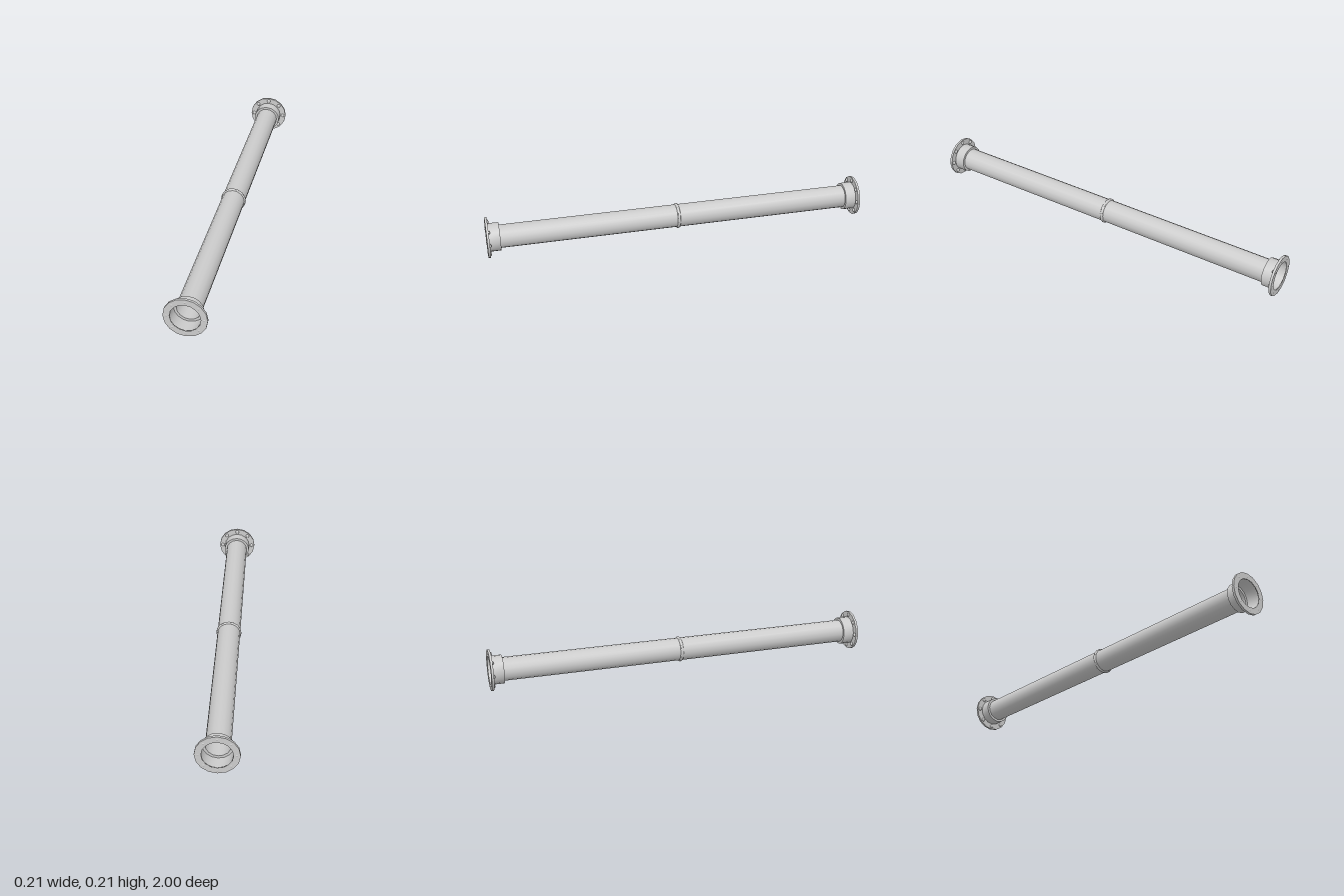
import * as THREE from 'three';
import { toCreasedNormals } from 'three/addons/utils/BufferGeometryUtils.js';

const SIDES = 16;
const R = 0.06;        // pipe radius
const HUB = 0.073;     // end socket radius
const RIM = 0.105;     // flange radius
const BOLTS = 8;

const material = new THREE.MeshStandardMaterial({ color: 0xcccccc, side: THREE.DoubleSide });

// Revolve a profile of [radius, z] pairs around the z axis.
function revolve(name, profile) {
  const points = profile.map(([r, z]) => new THREE.Vector2(r, z));
  const geometry = new THREE.LatheGeometry(points, SIDES).rotateX(Math.PI / 2);
  const mesh = new THREE.Mesh(toCreasedNormals(geometry, 0.6), material);
  mesh.name = name;
  return mesh;
}

// One flanged end, built at +z
function createEnd(name) {
  const end = new THREE.Group();
  end.name = name;

  // Socket with a step down to the pipe
  end.add(revolve('socket', [[R, 0.93], [HUB, 0.93], [HUB, 0.997]]));

  // Flange plate
  end.add(revolve('flange', [[HUB, 0.986], [RIM, 0.986], [RIM, 0.998], [HUB, 0.998]]));

  // Round bolts through the flange
  const boltGeometry = new THREE.SphereGeometry(0.011, 10, 8);
  for (let i = 0; i < BOLTS; i++) {
    const a = (i / BOLTS) * Math.PI * 2;
    const bolt = new THREE.Mesh(boltGeometry, material);
    bolt.name = 'bolt';
    bolt.position.set(Math.cos(a) * 0.088, Math.sin(a) * 0.088, 0.989);
    end.add(bolt);
  }
  return end;
}

export function createModel() {
  const model = new THREE.Group();
  model.name = 'flangedPipe';

  // Open pipe
  model.add(revolve('pipe', [[R, -0.93], [R, 0.93]]));

  // Rounded weld ring at the middle
  const bead = [];
  for (let i = 0; i <= 6; i++) {
    const a = (i / 6) * Math.PI;
    bead.push([R + 0.007 * Math.sin(a), -0.008 * Math.cos(a)]);
  }
  model.add(revolve('weldRing', bead));

  // Matching ends
  const front = createEnd('frontEnd');
  const back = createEnd('backEnd');
  back.rotation.y = Math.PI;
  model.add(front, back);

  model.children.forEach((part) => { part.position.y = RIM; });
  return model;
}
